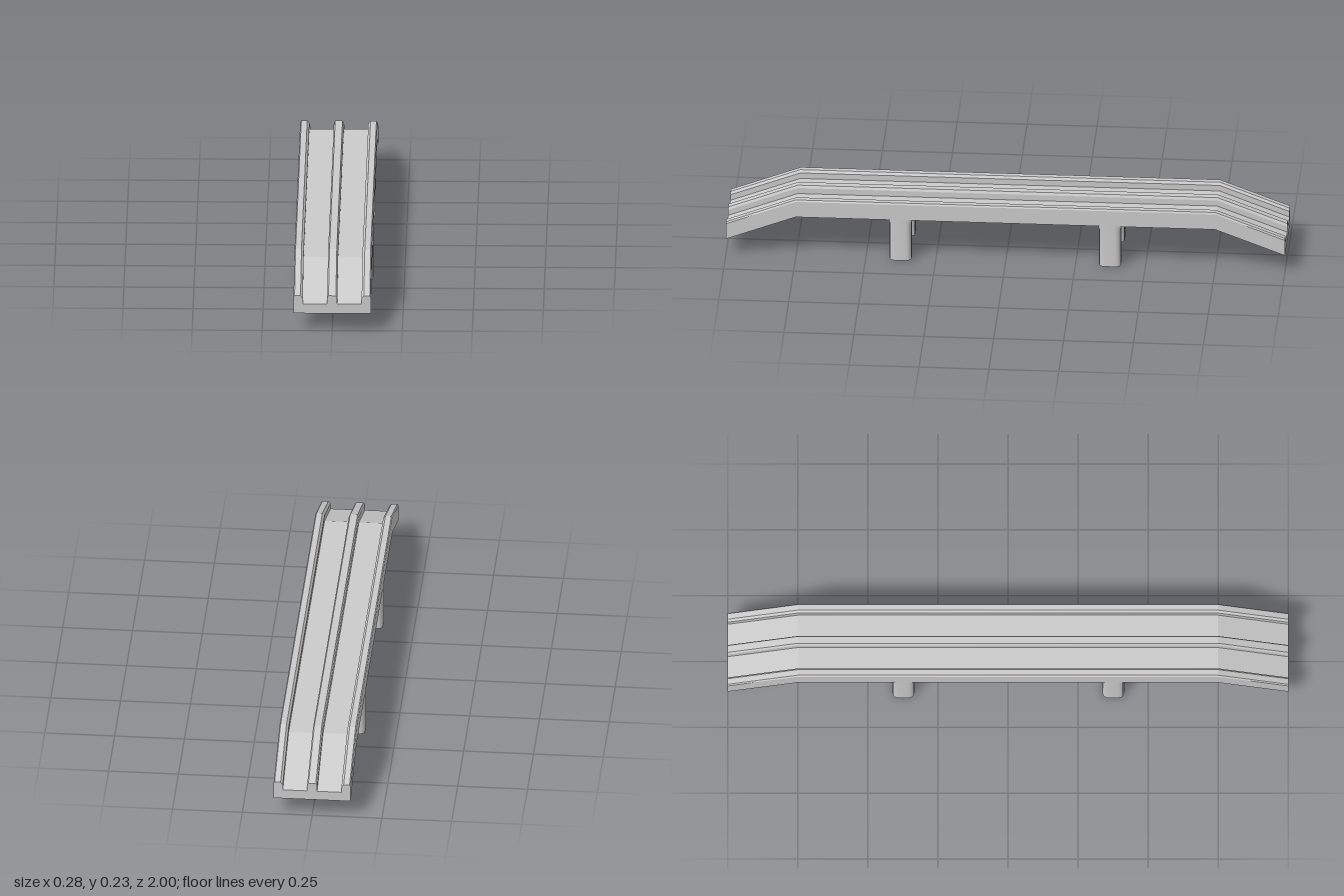
import * as THREE from 'three';
import { toCreasedNormals } from 'three/addons/utils/BufferGeometryUtils.js';

const material = new THREE.MeshStandardMaterial({ color: 0xcccccc });
const HALF_WIDTH = 0.138;

// Move every vertex of a geometry by a rule
function reshape(geometry, rule) {
  const p = geometry.attributes.position;
  const v = new THREE.Vector3();
  for (let i = 0; i < p.count; i++) {
    rule(v.fromBufferAttribute(p, i));
    p.setXYZ(i, v.x, v.y, v.z);
  }
  return geometry;
}

// Two-lane deck: one kerbed cross-section, bent down at both ends
function makeDeck() {
  const bottom = 0.16, floor = 0.195, top = 0.226;
  const half = [
    [HALF_WIDTH, bottom], [HALF_WIDTH, top - 0.006], [0.134, top],
    [0.113, top], [0.105, top - 0.009], [0.105, floor],
    [0.018, floor], [0.018, top - 0.009], [0.013, top],
  ];
  const mirrored = half.map(([x, y]) => [-x, y]).reverse();
  const shape = new THREE.Shape([...half, ...mirrored].map(([x, y]) => new THREE.Vector2(x, y)));

  const stations = [-1, -0.75, 0.75, 1];
  const geometry = new THREE.ExtrudeGeometry(shape, { depth: 3, steps: 3, bevelEnabled: false });
  reshape(geometry, (v) => {
    v.z = stations[Math.round(v.z)];
    if (Math.abs(v.z) > 0.9) v.y -= 0.095;
  });
  const mesh = new THREE.Mesh(toCreasedNormals(geometry, 0.3), material);
  mesh.name = 'deck';
  return mesh;
}

// Rounded-square leg, flush with the deck side and flared at the top
function makeLeg(side, z) {
  const w = 0.0375, d = 0.039, r = 0.022;
  const shape = new THREE.Shape();
  shape.moveTo(w, -d + r);
  shape.lineTo(w, d - r).quadraticCurveTo(w, d, w - r, d);
  shape.lineTo(-w + r, d).quadraticCurveTo(-w, d, -w, d - r);
  shape.lineTo(-w, -d + r).quadraticCurveTo(-w, -d, -w + r, -d);
  shape.lineTo(w - r, -d).quadraticCurveTo(w, -d, w, -d + r);

  const heights = [0, 0.142, 0.163];
  const geometry = new THREE.ExtrudeGeometry(shape, {
    depth: 2, steps: 2, curveSegments: 4, bevelEnabled: false,
  });
  geometry.rotateX(-Math.PI / 2);
  reshape(geometry, (v) => {
    const level = Math.round(v.y);
    const flare = level === 2 ? 1.25 : 1;
    v.y = heights[level];
    v.x = side * w + (v.x - side * w) * flare;
    v.z *= flare;
  });
  const mesh = new THREE.Mesh(toCreasedNormals(geometry, 0.5), material);
  mesh.position.set(side * (HALF_WIDTH - w), 0, z);
  mesh.name = `${z > 0 ? 'front' : 'back'}${side > 0 ? 'Left' : 'Right'}Leg`;
  return mesh;
}

export function createModel() {
  const model = new THREE.Group();
  model.name = 'elevatedTrack';
  model.add(makeDeck());
  for (const side of [-1, 1]) {
    for (const z of [-0.373, 0.376]) model.add(makeLeg(side, z));
  }
  return model;
}
